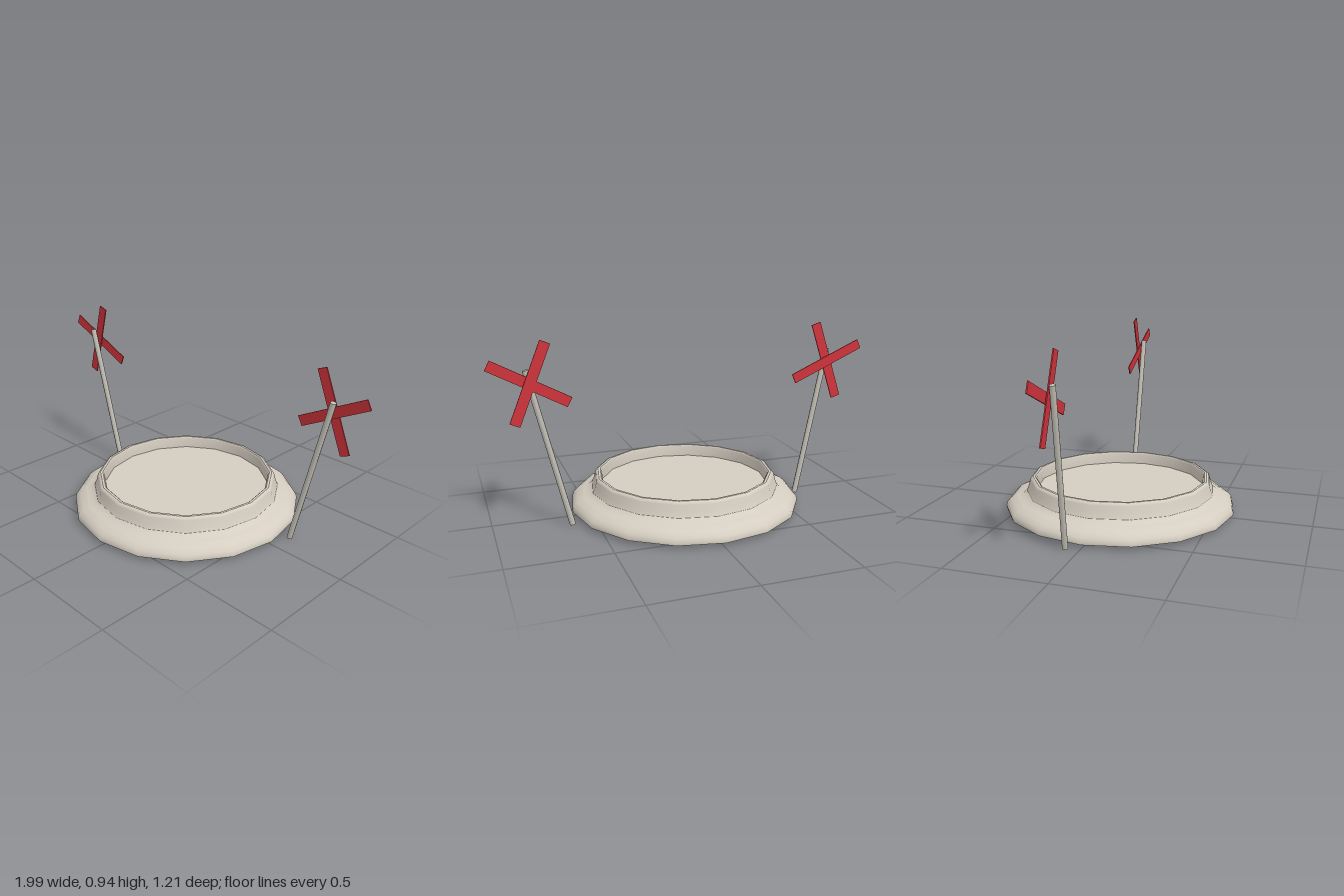
import * as THREE from 'three';

const stone = new THREE.MeshStandardMaterial({ color: 0xd5cdc1 });
stone.name = 'pale stone';
const metal = new THREE.MeshStandardMaterial({ color: 0xc4c0b6 });
metal.name = 'grey post';
const red = new THREE.MeshStandardMaterial({ color: 0xcf343c });
red.name = 'red';

const V = (p) => new THREE.Vector3(...p);

// Sixteen-sided turned surface; each profile is smooth, edges between profiles stay sharp
function turned(name, profile) {
  const points = profile.map(([r, y]) => new THREE.Vector2(r, y));
  const mesh = new THREE.Mesh(new THREE.LatheGeometry(points, 16), stone);
  mesh.name = name;
  return mesh;
}

// Slim round post between two points
function post(from, to) {
  const a = V(from), b = V(to);
  const dir = b.clone().sub(a);
  const mesh = new THREE.Mesh(new THREE.CylinderGeometry(0.015, 0.015, dir.length(), 8), metal);
  mesh.position.copy(a).add(b).multiplyScalar(0.5);
  mesh.quaternion.setFromUnitVectors(new THREE.Vector3(0, 1, 0), dir.normalize());
  mesh.name = 'post';
  return mesh;
}

// Flat slat whose broad face looks along z
function slat(from, to) {
  const a = V(from), b = V(to);
  const along = b.clone().sub(a);
  const mesh = new THREE.Mesh(new THREE.BoxGeometry(along.length(), 0.052, 0.006), red);
  along.normalize();
  const across = new THREE.Vector3(0, 0, 1).cross(along).normalize();
  const normal = along.clone().cross(across);
  mesh.quaternion.setFromRotationMatrix(new THREE.Matrix4().makeBasis(along, across, normal));
  mesh.position.copy(a).add(b).multiplyScalar(0.5);
  mesh.name = 'crossSlat';
  return mesh;
}

function marker(name, postEnds, slats) {
  const group = new THREE.Group();
  group.name = name;
  group.add(post(...postEnds), ...slats.map((s) => slat(...s)));
  return group;
}

export function createModel() {
  const model = new THREE.Group();
  model.name = 'basinWithMarkers';

  // Shallow basin on a rounded foot
  const basin = new THREE.Group();
  basin.name = 'basin';
  basin.position.x = -0.01;
  basin.add(
    turned('underside', [[0, 0.008], [0.575, 0.008]]),
    turned('bottomEdge', [[0.575, 0.008], [0.603, 0.018]]),
    turned('foot', [[0.603, 0.018], [0.605, 0.03], [0.598, 0.05], [0.577, 0.07], [0.545, 0.085]]),
    turned('cove', [[0.545, 0.085], [0.515, 0.094], [0.496, 0.11]]),
    turned('wall', [[0.496, 0.11], [0.485, 0.135], [0.477, 0.168], [0.472, 0.178], [0.462, 0.183]]),
    turned('rim', [[0.462, 0.183], [0.45, 0.183]]),
    turned('innerWall', [[0.45, 0.183], [0.442, 0.175], [0.44, 0.12]]),
    turned('floor', [[0.44, 0.12], [0, 0.12]])
  );
  model.add(basin);

  // Leaning posts, each with a crossed pair of slats behind its top
  model.add(
    marker('leftMarker',
      [[0.617, 0.004, -0.113], [0.81, 0.796, -0.109]],
      [
        [[0.717, 0.93, -0.139], [0.874, 0.543, -0.141]],
        [[0.612, 0.637, -0.143], [0.983, 0.832, -0.124]],
      ]),
    marker('rightMarker',
      [[-0.637, 0.004, -0.069], [-0.813, 0.798, -0.041]],
      [
        [[-0.733, 0.936, -0.057], [-0.861, 0.535, -0.073]],
        [[-0.989, 0.818, -0.075], [-0.603, 0.65, -0.077]],
      ])
  );
  return model;
}
